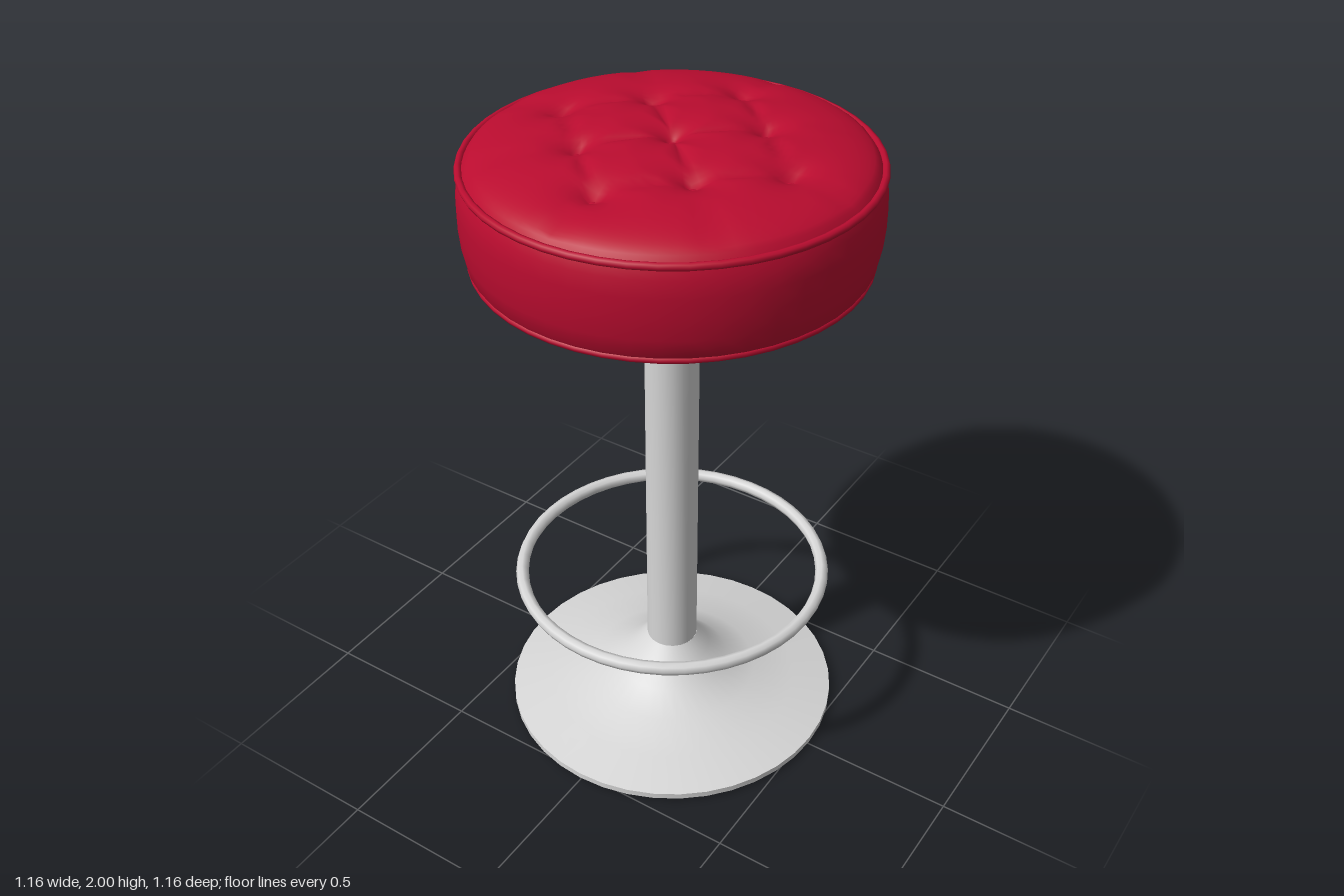
import * as THREE from 'three';
import { toCreasedNormals } from 'three/addons/utils/BufferGeometryUtils.js';

const SEAT_R = 0.56;
const G = 0.18; // tuft spacing

const red = new THREE.MeshStandardMaterial({ color: 0xba0c2f });
red.name = 'red leather';
const metal = new THREE.MeshStandardMaterial({ color: 0xd6d6d6 });
metal.name = 'brushed metal';

// Button positions: a 3 x 3 grid turned by 45 degrees
const buttons = [];
for (const i of [-1, 0, 1]) for (const j of [-1, 0, 1]) buttons.push([(i + j) * G, (i - j) * G]);

// Creases as [x1, z1, x2, z2, depth]: grid lines, then pleats running to the rim
const creases = [];
for (const k of [-1, 0, 1]) {
  creases.push([(k - 1) * G, (k + 1) * G, (k + 1) * G, (k - 1) * G, 0.02]);
  creases.push([(k - 1) * G, (-k - 1) * G, (k + 1) * G, (1 - k) * G, 0.02]);
}
for (const [x, z] of buttons) {
  const r = Math.hypot(x, z);
  if (r < 0.01) continue;
  creases.push([x, z, x / r * 0.54, z / r * 0.54, r > 0.3 ? 0.014 : 0.008]);
}

function segmentDistance(x, z, [x1, z1, x2, z2]) {
  const dx = x2 - x1, dz = z2 - z1;
  const t = THREE.MathUtils.clamp(((x - x1) * dx + (z - z1) * dz) / (dx * dx + dz * dz), 0, 1);
  return Math.hypot(x - x1 - t * dx, z - z1 - t * dz);
}

// Height of the tufted cushion
function cushionHeight(x, z) {
  const q = Math.min(1, Math.hypot(x, z) / SEAT_R);
  let drop = 0;
  for (const c of creases) drop = Math.max(drop, c[4] * Math.exp(-segmentDistance(x, z, c) / 0.03));
  for (const [bx, bz] of buttons) {
    drop = Math.max(drop, 0.055 * Math.exp(-Math.hypot(x - bx, z - bz) / 0.05));
  }
  const edge = Math.sqrt(1 - q ** 6);
  return 1.915 + 0.05 * edge + 0.043 * (1 - q * q) - drop * edge;
}

// Polar mesh for the cushion top
function cushionGeometry(rings = 36, segs = 72) {
  const pos = [0, cushionHeight(0, 0), 0], index = [];
  for (let i = 1; i <= rings; i++) {
    const r = SEAT_R * Math.sin((i / rings) * Math.PI / 2 * 0.5) / Math.sin(Math.PI / 4);
    for (let j = 0; j < segs; j++) {
      const a = (j / segs) * Math.PI * 2;
      const x = r * Math.cos(a), z = r * Math.sin(a);
      pos.push(x, cushionHeight(x, z), z);
    }
  }
  const at = (i, j) => 1 + (i - 1) * segs + (j % segs);
  for (let j = 0; j < segs; j++) {
    index.push(0, at(1, j + 1), at(1, j));
    for (let i = 1; i < rings; i++) {
      index.push(at(i, j), at(i, j + 1), at(i + 1, j));
      index.push(at(i, j + 1), at(i + 1, j + 1), at(i + 1, j));
    }
  }
  const g = new THREE.BufferGeometry();
  g.setAttribute('position', new THREE.Float32BufferAttribute(pos, 3));
  g.setIndex(index);
  g.computeVertexNormals();
  return g;
}

function lathe(points, segs) {
  const g = new THREE.LatheGeometry(points.map(([x, y]) => new THREE.Vector2(x, y)), segs);
  return toCreasedNormals(g, 0.6);
}

export function createModel() {
  const model = new THREE.Group();
  model.name = 'barStool';
  const add = (name, geometry, material, x = 0, y = 0, z = 0) => {
    const mesh = new THREE.Mesh(geometry, material);
    mesh.name = name;
    mesh.position.set(x, y, z);
    model.add(mesh);
    return mesh;
  };
  const hoop = (name, radius, tube, y, material, segs) => {
    add(name, new THREE.TorusGeometry(radius, tube, 8, segs), material, 0, y).rotation.x = Math.PI / 2;
  };

  // Flared foot
  add('base', lathe([[0, 0.005], [0.51, 0], [0.525, 0.008], [0.525, 0.027], [0.4, 0.055],
    [0.27, 0.085], [0.18, 0.13], [0.12, 0.185], [0.08, 0.232], [0, 0.232]], 40), metal);

  // Column and the stem that carries the seat
  add('column', lathe([[0, 0.2], [0.08, 0.2], [0.08, 1.555], [0, 1.555]], 20), metal);
  add('seatStem', new THREE.CylinderGeometry(0.066, 0.07, 0.11, 12), red, 0, 1.595);

  // Foot ring
  hoop('footRing', 0.473, 0.02, 0.512, metal, 48);

  // Upholstered seat
  add('seatSide', lathe([[0, 1.637], [0.55, 1.637], [0.565, 1.66], [0.575, 1.71], [0.58, 1.77],
    [0.58, 1.83], [0.575, 1.88], [0.565, 1.905], [0.55, 1.915]], 48), red);
  hoop('lowerPiping', 0.553, 0.01, 1.643, red, 48);
  hoop('upperPiping', 0.567, 0.011, 1.915, red, 48);
  add('tuftedCushion', cushionGeometry(), red);
  for (const [x, z] of buttons) {
    const button = add('button', new THREE.SphereGeometry(0.018, 10, 6), red, x, cushionHeight(x, z) + 0.002, z);
    button.scale.y = 0.5;
  }
  return model;
}
